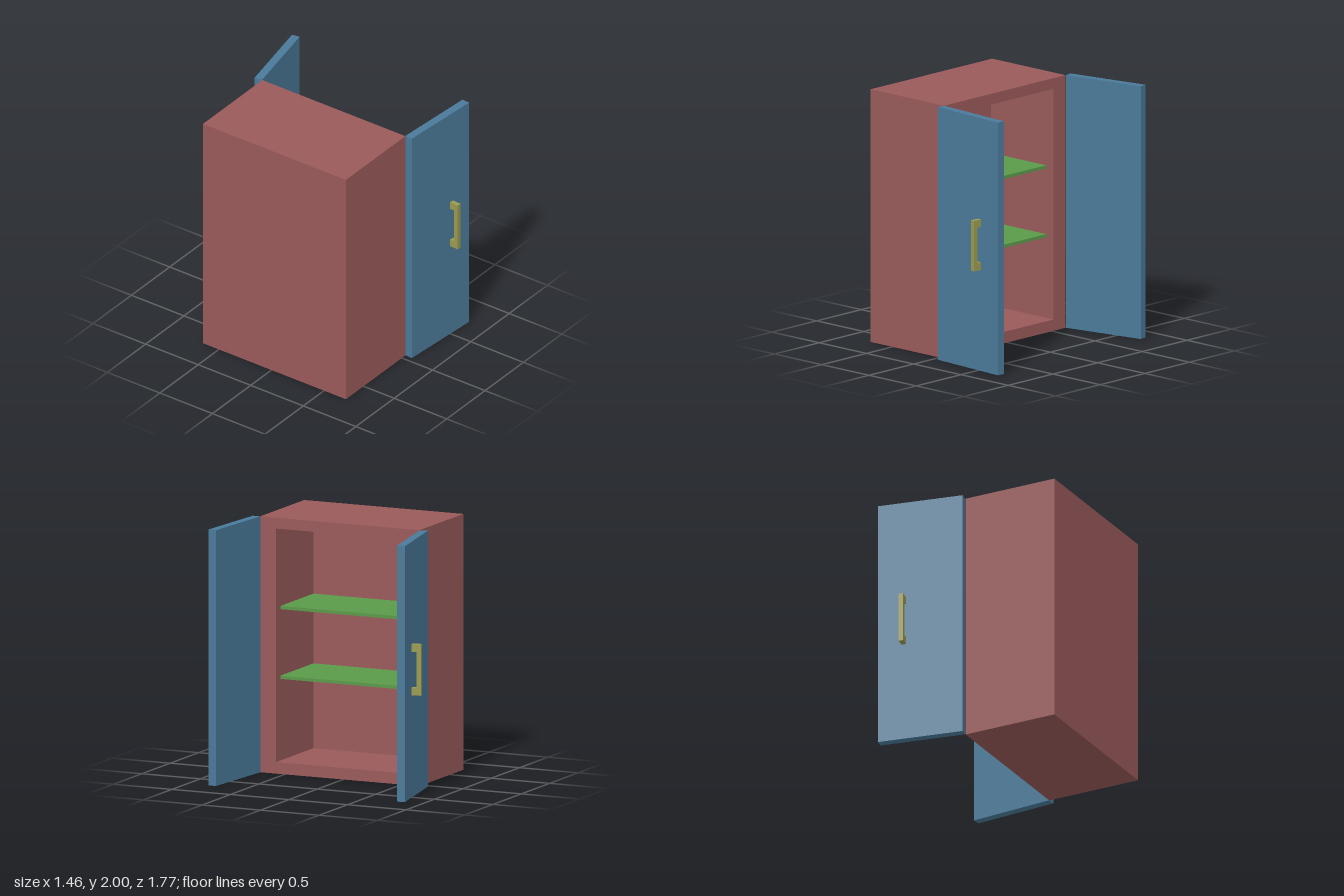
import * as THREE from 'three';

const material = (color) => new THREE.MeshStandardMaterial({ color, flatShading: true });
const BODY = material(0x9a5a5a);
const DOOR = material(0x4a7a9a);
const SHELF = material(0x5a9a4a);
const HANDLE = material(0x9a9a50);

const FRONT_X = 0.045, BACK_X = -0.73, INNER_X = -0.617; // cabinet depth runs along x
const MID_Z = 0.029, HEIGHT = 2;

// Box given by its min and max corners
function box(name, mat, [x0, y0, z0], [x1, y1, z1]) {
  const mesh = new THREE.Mesh(new THREE.BoxGeometry(x1 - x0, y1 - y0, z1 - z0), mat);
  mesh.position.set((x0 + x1) / 2, (y0 + y1) / 2, (z0 + z1) / 2);
  mesh.name = name;
  return mesh;
}

function polygon(Type, points) {
  return new Type(points.map(([x, y]) => new THREE.Vector2(x, y)));
}

function rectangle(Type, x, y0, y1) {
  return polygon(Type, [[-x, y0], [x, y0], [x, y1], [-x, y1]]);
}

// Open-fronted shell with a thick back
function createCabinet() {
  const cabinet = new THREE.Group();
  cabinet.name = 'cabinet';
  const outline = rectangle(THREE.Shape, 0.68, 0, HEIGHT);
  outline.holes.push(rectangle(THREE.Path, 0.545, 0.09, 1.915));
  const walls = new THREE.Mesh(
    new THREE.ExtrudeGeometry(outline, { depth: FRONT_X - INNER_X, bevelEnabled: false }), BODY);
  walls.name = 'cabinetWalls';
  walls.rotation.y = Math.PI / 2;
  walls.position.set(INNER_X, 0, MID_Z);
  cabinet.add(walls, box('backPanel', BODY,
    [BACK_X, 0, MID_Z - 0.68], [INNER_X, HEIGHT, MID_Z + 0.68]));
  return cabinet;
}

// Door hinged at its inner corner; side is +1 for the +z door and -1 for the -z door
function createDoor(name, side, hinge, degrees) {
  const door = new THREE.Group();
  door.name = name;
  const thick = 0.065;
  const panel = box('doorPanel', DOOR, [0, 0, 0], [0.68, HEIGHT, thick]);
  panel.position.z *= side;

  // U-shaped pull: profile of reach against height, extruded across its width
  const reach = 0.075, grip = 0.04, width = 0.035;
  const profile = polygon(THREE.Shape, [
    [0, 0.8], [reach, 0.8], [reach, 1.2], [0, 1.2],
    [0, 1.14], [grip, 1.14], [grip, 0.86], [0, 0.86]]);
  const pullGeometry = new THREE.ExtrudeGeometry(profile, { depth: width, bevelEnabled: false });
  pullGeometry.translate(0, 0, -width / 2);
  const pull = new THREE.Mesh(pullGeometry, HANDLE);
  pull.name = 'doorHandle';
  pull.rotation.y = -side * Math.PI / 2;
  pull.position.set(0.473, 0, side * thick);

  door.add(panel, pull);
  door.position.set(...hinge);
  door.rotation.y = -side * THREE.MathUtils.degToRad(degrees);
  return door;
}

export function createModel() {
  const model = new THREE.Group();
  model.name = 'cupboard';
  model.add(createCabinet());

  // Two shelves set back from the opening
  [['lowerShelf', 0.728], ['upperShelf', 1.273]].forEach(([name, y]) => {
    model.add(box(name, SHELF, [INNER_X, y, MID_Z - 0.545], [-0.03, y + 0.025, MID_Z + 0.545]));
  });

  // Both doors swung wide open
  model.add(
    createDoor('leftDoor', 1, [FRONT_X + 0.003, 0, 0.707], 4.2),
    createDoor('rightDoor', -1, [FRONT_X + 0.003, 0, -0.655], 11));
  return model;
}
